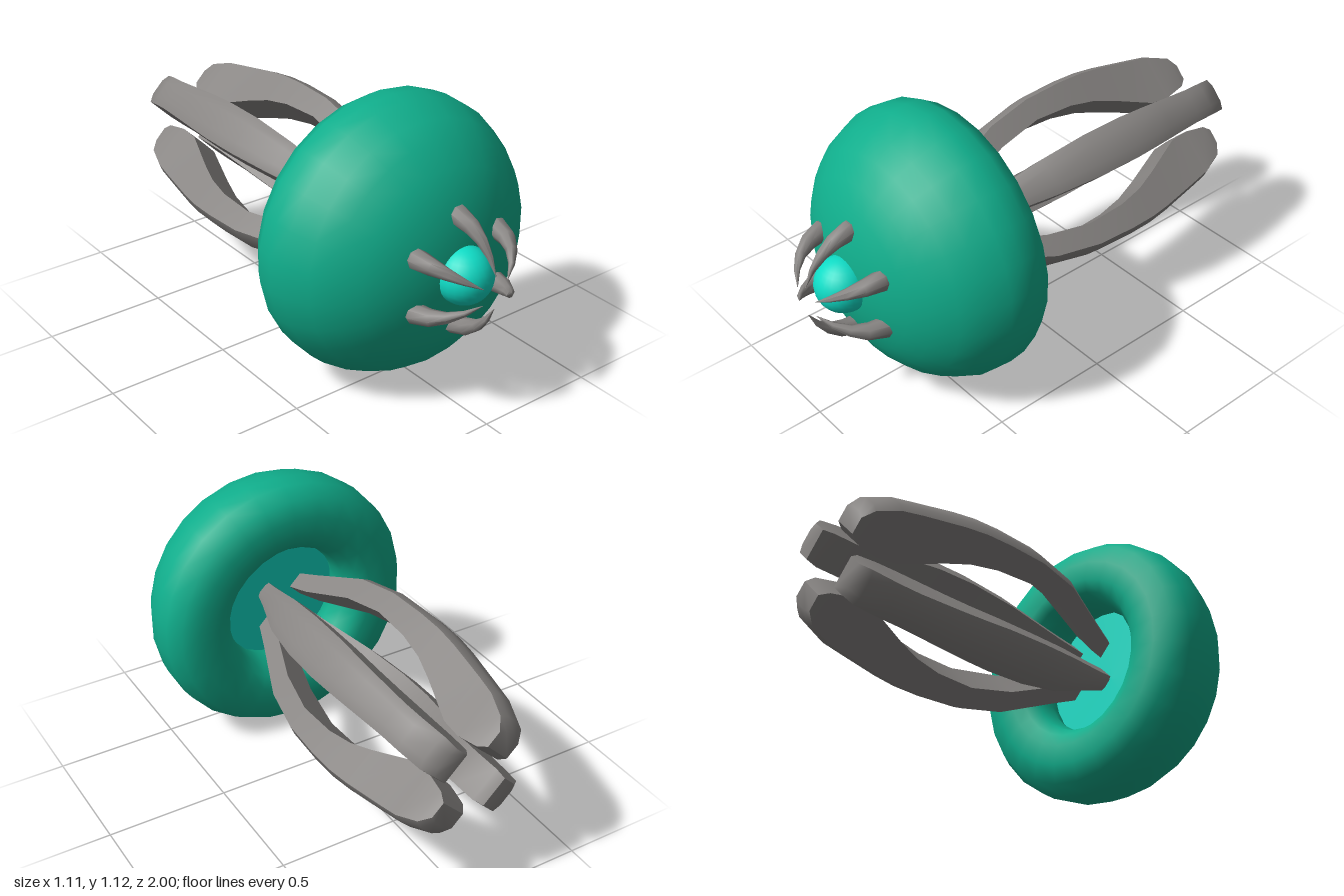
import * as THREE from 'three';
import { toCreasedNormals } from 'three/addons/utils/BufferGeometryUtils.js';

// Skin a list of rings (each an array of [x, y, z]) and close both ends.
function loft(rings, crease) {
  const n = rings[0].length;
  const pos = rings.flat(2);
  const idx = [];
  for (let r = 0; r < rings.length - 1; r++) {
    for (let j = 0; j < n; j++) {
      const a = r * n + j, b = r * n + (j + 1) % n;
      idx.push(a, b, a + n, b, b + n, a + n);
    }
  }
  const last = (rings.length - 1) * n;
  for (let j = 1; j < n - 1; j++) {
    idx.push(0, j + 1, j);
    idx.push(last, last + j, last + j + 1);
  }
  const g = new THREE.BufferGeometry();
  g.setAttribute('position', new THREE.Float32BufferAttribute(pos, 3));
  g.setIndex(idx);
  return toCreasedNormals(g, crease);
}

export function createModel() {
  const teal = new THREE.MeshStandardMaterial({ color: 0x10ae8c });
  teal.name = 'teal';
  const aqua = new THREE.MeshStandardMaterial({ color: 0x0fdcc6 });
  aqua.name = 'aqua';
  const grey = new THREE.MeshStandardMaterial({ color: 0x888583 });
  grey.name = 'grey';

  const model = new THREE.Group();
  model.position.y = 0.56;
  const root = new THREE.Group();
  root.add(model);

  const add = (name, geometry, material) => {
    const mesh = new THREE.Mesh(geometry, material);
    mesh.name = name;
    model.add(mesh);
    return mesh;
  };

  // Domed body with a rolled rim around the rear opening: [radius, z]
  const profile = [
    [0.34, 0.52], [0.28, 0.46], [0.262, 0.4], [0.275, 0.33], [0.31, 0.28],
    [0.36, 0.257], [0.44, 0.26], [0.515, 0.285], [0.553, 0.35], [0.56, 0.42],
    [0.553, 0.49], [0.51, 0.59], [0.46, 0.66], [0.38, 0.73], [0.3, 0.775],
    [0.21, 0.81], [0.1, 0.835], [0, 0.84],
  ].map(([r, z]) => new THREE.Vector2(r, z));
  add('body', new THREE.LatheGeometry(profile, 26).rotateX(Math.PI / 2), teal);

  // Bright inner floor behind the opening
  const floor = add('innerFloor', new THREE.CircleGeometry(0.36, 26).rotateY(Math.PI), aqua);
  floor.position.z = 0.51;

  // Nose ball
  const ball = add('noseBall', new THREE.SphereGeometry(0.111, 24, 16), aqua);
  ball.position.z = 0.84;

  // Four rear arms: [z, half width, inner radius, outer radius]
  const armRings = [
    [-1, 0.062, 0.125, 0.19], [-0.965, 0.07, 0.1, 0.235], [-0.87, 0.07, 0.083, 0.275],
    [-0.78, 0.07, 0.09, 0.292], [-0.6, 0.078, 0.168, 0.322], [-0.5, 0.083, 0.205, 0.333],
    [-0.38, 0.088, 0.228, 0.335], [-0.2, 0.087, 0.235, 0.328], [0, 0.075, 0.195, 0.29],
    [0.25, 0.045, 0.1, 0.185], [0.36, 0.035, 0.07, 0.14],
  ].map(([z, w, i, o]) => [
    [-w, i, z], [w, i, z], [w, o, z],
    [w * 0.5, o + 0.2 * w, z], [-w * 0.5, o + 0.2 * w, z], [-w, o, z],
  ]);
  const armGeometry = loft(armRings, 0.7);
  for (let k = 0; k < 4; k++) {
    add('rearArm' + (k + 1), armGeometry, grey).rotation.z = Math.PI / 4 + k * Math.PI / 2;
  }

  // Six curved front claws: [radius from axis, z, thickness]
  const path = [
    [0.2, 0.71, 0.026], [0.222, 0.8, 0.041], [0.205, 0.865, 0.033],
    [0.172, 0.92, 0.022], [0.125, 0.965, 0.012], [0.065, 1, 0.001],
  ];
  const clawRings = path.map(([y, z, t], i) => {
    const p = path[Math.max(i - 1, 0)], q = path[Math.min(i + 1, path.length - 1)];
    const len = Math.hypot(q[0] - p[0], q[1] - p[1]);
    const ny = (q[1] - p[1]) / len, nz = -(q[0] - p[0]) / len;
    return Array.from({ length: 8 }, (_, j) => {
      const a = (j + 0.5) * Math.PI / 4;
      const v = t * Math.sin(a);
      return [t * Math.cos(a), y + v * ny, z + v * nz];
    });
  });
  const clawGeometry = loft(clawRings, 0.85);
  for (let k = 0; k < 6; k++) {
    add('frontClaw' + (k + 1), clawGeometry, grey).rotation.z = k * Math.PI / 3;
  }

  return root;
}
